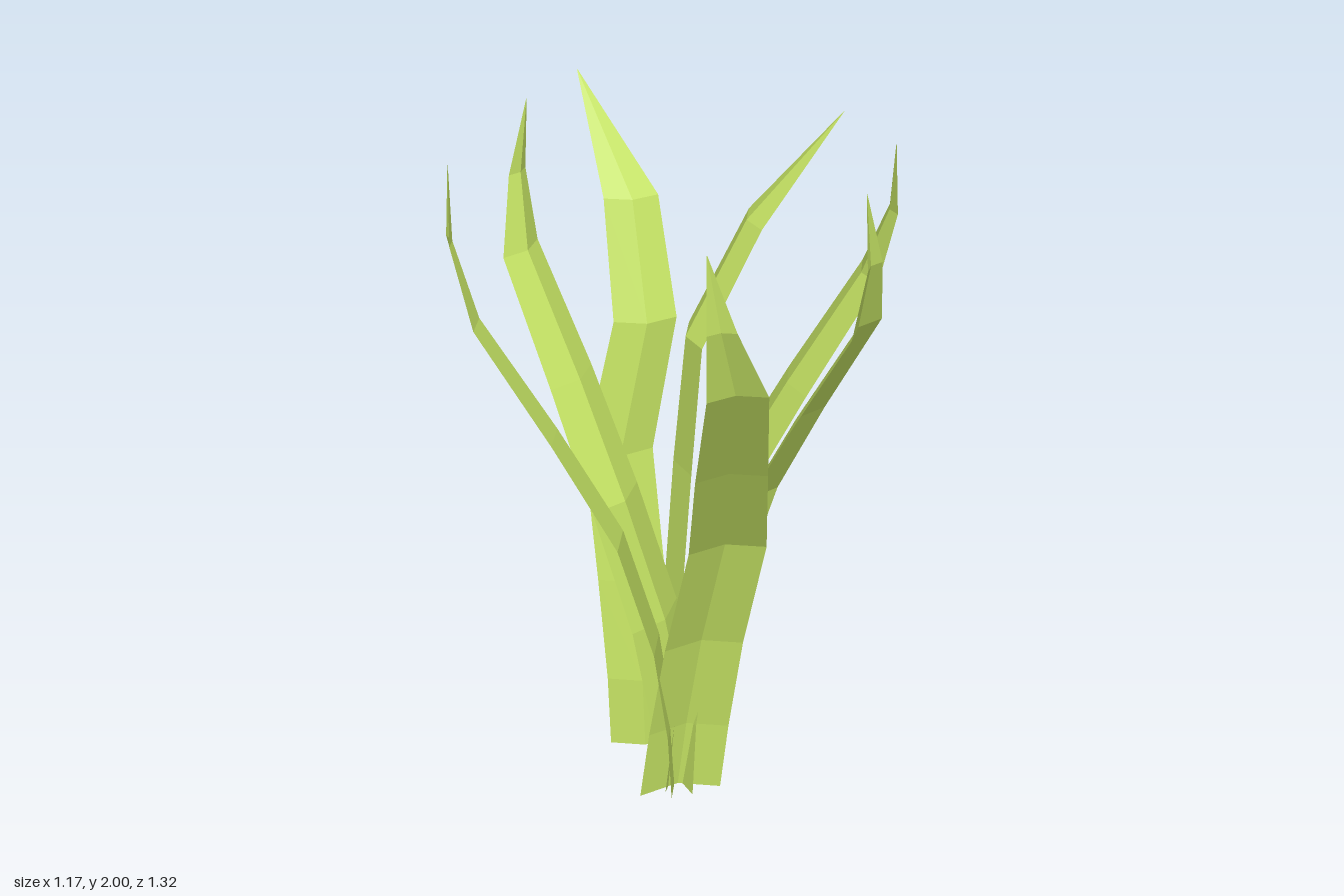
import * as THREE from 'three';

const material = new THREE.MeshStandardMaterial({ color: 0xc4e263, flatShading: true, side: THREE.DoubleSide });

// Blade cross-sections: [height, distance outward, sideways shift, half width]
const curledBlade = [
  [0, 0.02, 0, 0.12],
  [0.23, 0.035, 0.022, 0.117],
  [0.55, 0.08, 0.055, 0.112],
  [0.93, 0.185, 0.095, 0.107],
  [1.25, 0.35, 0.065, 0.095],
  [1.58, 0.535, 0.035, 0.077],
  [1.78, 0.58, -0.015, 0.037],
  [1.98, 0.57, -0.05, 0.001],
];
const flaredBlade = [
  [0, 0.0, 0.1, 0.1],
  [0.23, 0.01, 0.135, 0.1],
  [0.55, 0.035, 0.19, 0.1],
  [0.93, 0.07, 0.235, 0.1],
  [1.33, 0.1, 0.225, 0.088],
  [1.65, 0.275, 0.265, 0.077],
  [1.95, 0.52, 0.255, 0.001],
];
const leaningBlade = [
  [0, 0.15, 0.06, 0.1],
  [0.23, 0.16, 0.065, 0.1],
  [0.55, 0.21, 0.08, 0.1],
  [0.93, 0.29, 0.1, 0.1],
  [1.33, 0.315, 0.015, 0.09],
  [1.65, 0.44, 0.03, 0.077],
  [1.95, 0.66, 0.14, 0.001],
];

// Strip of three columns, its middle ridge raised towards the plant's centre
function bladeGeometry(sections) {
  const columns = [-1, 0, 1], n = columns.length;
  const positions = [], index = [];
  sections.forEach(([y, out, shift, half], row) => {
    columns.forEach((c, col) => {
      positions.push(shift + c * half, y, out + half * (0.32 * c * c - 0.22));
      if (row && col) {
        const d = row * n + col, c0 = d - 1, b = d - n, a = b - 1;
        index.push(a, b, d, a, d, c0);
      }
    });
  });
  const geometry = new THREE.BufferGeometry();
  geometry.setAttribute('position', new THREE.Float32BufferAttribute(positions, 3));
  geometry.setIndex(index);
  geometry.computeVertexNormals();
  return geometry;
}

export function createModel() {
  const group = new THREE.Group();
  group.name = 'leafyPlant';
  const curled = bladeGeometry(curledBlade);

  // name, shape, heading in degrees, base x, base z, height scale
  const leaves = [
    ['frontLeaf', curled, 0, 0, 0.08, 0.995],
    ['frontLeftLeaf', curled, 45, 0.018, 0.002, 1.01],
    ['leftLeaf', curled, 90, 0, 0.015, 0.995],
    ['rightLeaf', curled, -90, 0, 0.022, 0.995],
    ['backRightLeaf', curled, -135, 0.052, 0.018, 0.998],
    ['backLeftLeaf', bladeGeometry(flaredBlade), 90, 0, 0, 0.995],
    ['backLeaf', bladeGeometry(leaningBlade), 180, 0, 0, 1.005],
  ];
  for (const [name, geometry, heading, x, z, height] of leaves) {
    const leaf = new THREE.Mesh(geometry, material);
    leaf.name = name;
    leaf.position.set(x, 0, z);
    leaf.rotation.y = THREE.MathUtils.degToRad(heading);
    leaf.scale.y = height;
    group.add(leaf);
  }
  return group;
}
